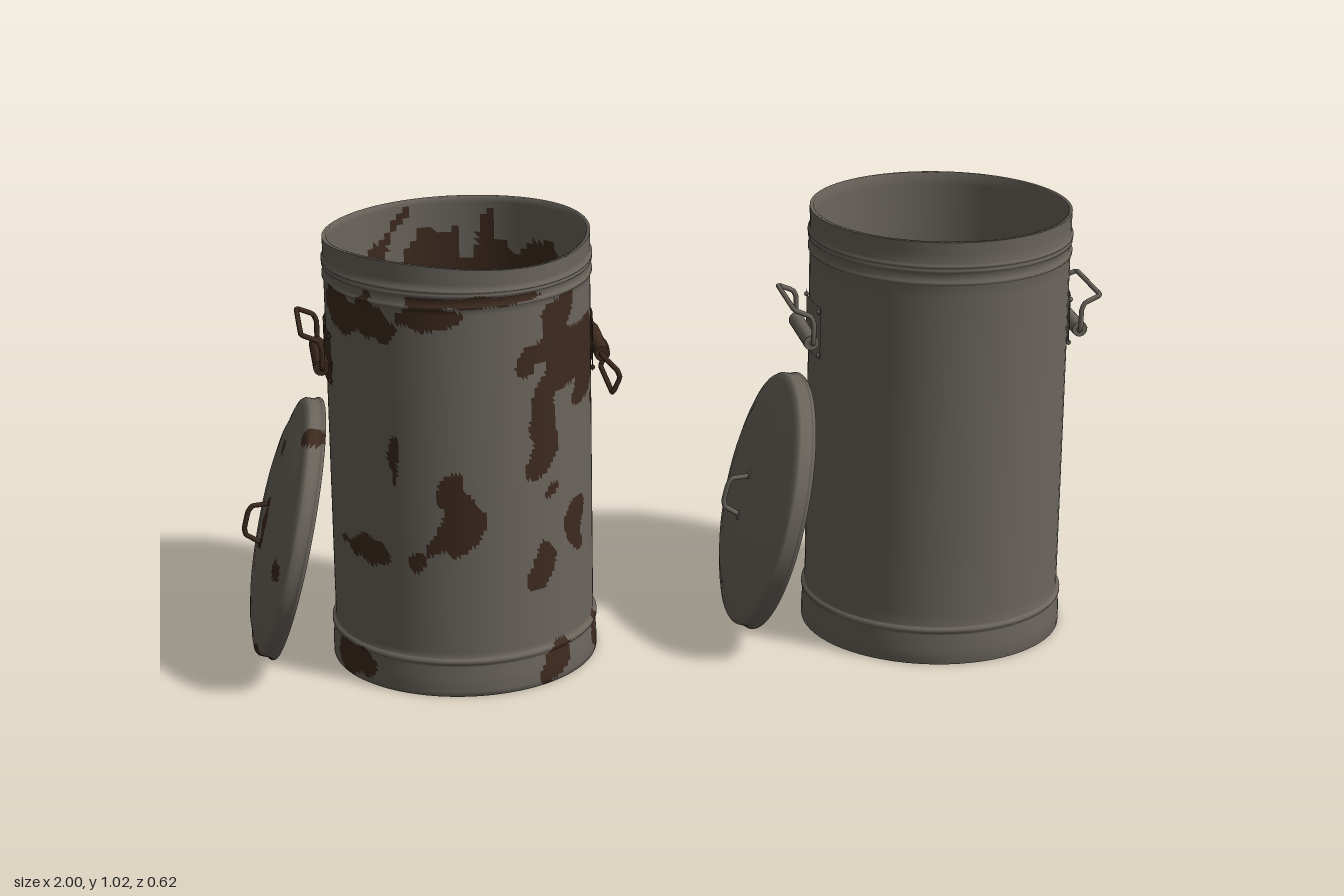
import * as THREE from 'three';

const mat = (name, color, side = THREE.FrontSide) => {
  const m = new THREE.MeshStandardMaterial({ color, side });
  m.name = name;
  return m;
};
const steel = mat('grey steel', 0x6b655d, THREE.DoubleSide);
const rust = mat('brown rust', 0x3d2a1f, THREE.DoubleSide);

const add = (parent, name, geo, material) => {
  const m = new THREE.Mesh(geo, material);
  m.name = name;
  parent.add(m);
  return m;
};

// Lathe from [radius, y] points, with extra rows so long walls stay crisp beside beads
function turned(profile, segs, step) {
  const pts = [];
  profile.forEach(([r, y], i) => {
    if (i) {
      const [r0, y0] = profile[i - 1];
      const n = Math.max(1, Math.round(Math.hypot(r - r0, y - y0) / step));
      for (let k = 1; k < n; k++) pts.push(new THREE.Vector2(r0 + (r - r0) * k / n, y0 + (y - y0) * k / n));
    }
    pts.push(new THREE.Vector2(r, y));
  });
  return new THREE.LatheGeometry(pts, segs);
}

// Sort triangles into clean (group 0) and rusty (group 1)
function corrode(geo, isRusty) {
  const p = geo.attributes.position, idx = geo.index.array, sets = [[], []];
  for (let i = 0; i < idx.length; i += 3) {
    const [a, b, c] = [idx[i], idx[i + 1], idx[i + 2]];
    const mid = (f) => (p[f](a) + p[f](b) + p[f](c)) / 3;
    sets[isRusty(mid('getX'), mid('getY'), mid('getZ')) ? 1 : 0].push(a, b, c);
  }
  geo.setIndex([...sets[0], ...sets[1]]);
  geo.addGroup(0, sets[0].length, 0);
  geo.addGroup(sets[0].length, sets[1].length, 1);
  return geo;
}

const ripple = (x, y, z) =>
  0.22 * Math.sin(37 * x + 21 * y + 29 * z) + 0.2 * Math.sin(48 * y - 33 * x + 25 * z + 2) +
  0.12 * Math.sin(83 * x - 71 * y + 64 * z + 1);

// Rust spots on the wall: [angle from front, height, half width, half height]
const wallSpots = [
  [-58, 0.885, 0.13, 0.045], [-20, 0.90, 0.10, 0.025], [0, 0.935, 0.22, 0.012],
  [-8, 0.41, 0.055, 0.10], [-35, 0.57, 0.013, 0.055], [-52, 0.33, 0.07, 0.03], [-26, 0.315, 0.022, 0.022],
  [32, 0.30, 0.037, 0.075], [53, 0.35, 0.045, 0.065],
  [24, 0.78, 0.022, 0.035], [33, 0.62, 0.045, 0.12], [42, 0.88, 0.07, 0.045], [48, 0.77, 0.08, 0.08],
  [72, 0.72, 0.11, 0.10], [92, 0.75, 0.10, 0.11], [95, 0.90, 0.06, 0.04],
  [151, 0.67, 0.04, 0.055], [190, 0.62, 0.023, 0.03], [177, 0.33, 0.02, 0.03],
  [190, 0.89, 0.08, 0.04], [226, 0.88, 0.08, 0.05], [230, 0.44, 0.065, 0.085], [211, 0.29, 0.045, 0.07],
  [262, 0.76, 0.10, 0.10], [250, 0.86, 0.06, 0.05],
  [-63, 0.035, 0.06, 0.05], [37, 0.04, 0.05, 0.055], [73, 0.045, 0.03, 0.05],
  [208, 0.035, 0.10, 0.055], [258, 0.04, 0.04, 0.05],
];
function wallRusty(x, y, z) {
  const angle = Math.atan2(x, z), n = ripple(x, y, z);
  return wallSpots.some(([deg, h, w, t]) => {
    let d = angle - deg * Math.PI / 180;
    d = Math.atan2(Math.sin(d), Math.cos(d)) * 0.303;
    return Math.hypot(d / w, (y - h) / t) + n < 1;
  });
}
const liningRusty = (x, y, z) => y < 0.92 + 0.17 * ripple(x, y * 0.6, z);

// Rust spots on the lid: [x, z, radius]
const lidSpots = [[0, 0, 0.035], [-0.03, 0.02, 0.03], [0.18, -0.02, 0.02], [0.05, -0.29, 0.035],
  [-0.02, 0.24, 0.025], [-0.28, 0.12, 0.04], [-0.26, -0.14, 0.025], [0.27, 0.13, 0.03]];
const lidRusty = (x, y, z) => lidSpots.some(([a, b, r]) => Math.hypot(x - a, z - b) / r + ripple(x, y, z) < 1);

// Sag the rim on one side
function dentRim(geo) {
  const p = geo.attributes.position;
  for (let i = 0; i < p.count; i++) {
    const y = p.getY(i);
    if (y < 0.93) continue;
    const a = Math.atan2(p.getX(i), p.getZ(i));
    const k = (y - 0.93) / 0.09;
    p.setY(i, y - k * (0.008 - 0.008 * Math.cos(2 * (a + 0.9)) + 0.003 * Math.sin(3 * a)));
  }
  return geo;
}

const wallProfile = [
  [0, 0.006], [0.3, 0.006], [0.303, 0], [0.309, 0], [0.309, 0.035], [0.306, 0.072], [0.306, 0.076], [0.31, 0.08],
  [0.31, 0.086], [0.306, 0.09], [0.302, 0.092], [0.302, 0.918], [0.306, 0.921], [0.306, 0.927], [0.301, 0.931],
  [0.301, 0.946], [0.306, 0.95], [0.306, 0.956], [0.303, 0.958], [0.307, 0.961], [0.307, 0.966], [0.302, 0.97],
  [0.303, 1.02],
];
const liningProfile = [[0.303, 1.02], [0.294, 1.02], [0.294, 0.02], [0, 0.02]];
const lidProfile = [
  [0.3, 0], [0.307, 0], [0.309, 0.004], [0.307, 0.009], [0.304, 0.01], [0.303, 0.034], [0.298, 0.041],
  [0.285, 0.046], [0.27, 0.049], [0.24, 0.06], [0.19, 0.069], [0.12, 0.074], [0.05, 0.076], [0, 0.076],
];
const lidLining = [[0, 0.068], [0.12, 0.066], [0.19, 0.061], [0.24, 0.052], [0.29, 0.038], [0.298, 0.03], [0.3, 0]];

const tube = (pts, radius) =>
  new THREE.TubeGeometry(new THREE.CatmullRomCurve3(pts.map((p) => new THREE.Vector3(...p)), false, 'catmullrom', 0.2),
    48, radius, 8);

// Bracket plate, rivets, hinge barrel and swinging bail, on the +x side
function sideHandle(name, material, swing) {
  const g = new THREE.Group();
  g.name = name;
  const plate = add(g, 'bracketPlate',
    new THREE.CylinderGeometry(0.307, 0.307, 0.125, 12, 1, true, Math.PI / 2 - 0.265, 0.53), material);
  plate.position.y = 0.75;
  for (const s of [-1, 1]) for (const y of [0.695, 0.8]) {
    const a = s * 0.235;
    add(g, 'rivet', new THREE.SphereGeometry(0.006, 8, 6), material)
      .position.set(0.307 * Math.cos(a), y, 0.307 * Math.sin(a));
  }
  const barrel = add(g, 'hingeBarrel', new THREE.CylinderGeometry(0.018, 0.018, 0.18, 14), material);
  barrel.rotation.x = Math.PI / 2;
  barrel.position.set(0.319, 0.732, 0);
  const bail = add(g, 'bail', tube([
    [0, 0, -0.085], [0, 0, -0.1], [0, 0.012, -0.103], [0, 0.05, -0.103], [0.008, 0.068, -0.102],
    [0.04, 0.082, -0.1], [0.045, 0.084, -0.09], [0.045, 0.084, 0.09], [0.04, 0.082, 0.1],
    [0.008, 0.068, 0.102], [0, 0.05, 0.103], [0, 0.012, 0.103], [0, 0, 0.1], [0, 0, 0.085],
  ], 0.006), material);
  bail.position.set(0.317, 0.732, 0);
  bail.rotation.z = swing;
  return g;
}

function makeBin(name, rusty) {
  const bin = new THREE.Group();
  bin.name = name;
  const finish = rusty ? [steel, rust] : steel;
  const build = (profile, segs, step, test) => {
    const geo = rusty ? turned(profile, segs, step) : turned(profile, 72, 0.03);
    return rusty && test ? corrode(geo, test) : geo;
  };
  const wall = build(wallProfile, 220, 0.011, wallRusty);
  const lining = build(liningProfile, 110, 0.016, liningRusty);
  if (rusty) [wall, lining].forEach(dentRim);
  add(bin, 'canWall', wall, finish);
  add(bin, 'canLining', lining, finish);

  const fittings = rusty ? rust : steel;
  bin.add(sideHandle('leftHandle', fittings, rusty ? -2.4 : 0));
  const right = sideHandle('rightHandle', fittings, 0);
  right.rotation.y = Math.PI;
  bin.add(right);

  // Lid leaning against the can
  const lid = new THREE.Group();
  lid.name = 'lid';
  add(lid, 'lidShell', build(lidProfile, 120, 0.01, lidRusty), finish);
  add(lid, 'lidLining', turned(lidLining, 72, 0.02), steel);
  add(lid, 'lidHandle', tube([[-0.05, 0.074, 0], [-0.044, 0.09, 0], [-0.036, 0.112, 0], [-0.02, 0.119, 0],
    [0.02, 0.119, 0], [0.036, 0.112, 0], [0.044, 0.09, 0], [0.05, 0.074, 0]], 0.006), fittings);
  for (const s of [-1, 1]) {
    const pad = add(lid, 'lidHandlePad', new THREE.SphereGeometry(0.012, 10, 6), fittings);
    pad.position.set(s * 0.052, 0.075, 0);
    pad.scale.y = 0.4;
  }
  lid.position.set(-0.385, 0.314, 0);
  lid.rotation.z = 1.323;
  bin.add(lid);
  return bin;
}

export function createModel() {
  const model = new THREE.Group();
  model.name = 'metalBins';
  const oldBin = makeBin('rustyBin', true);
  oldBin.position.x = -0.492;
  const newBin = makeBin('cleanBin', false);
  newBin.position.x = 0.632;
  model.add(oldBin, newBin);
  return model;
}
